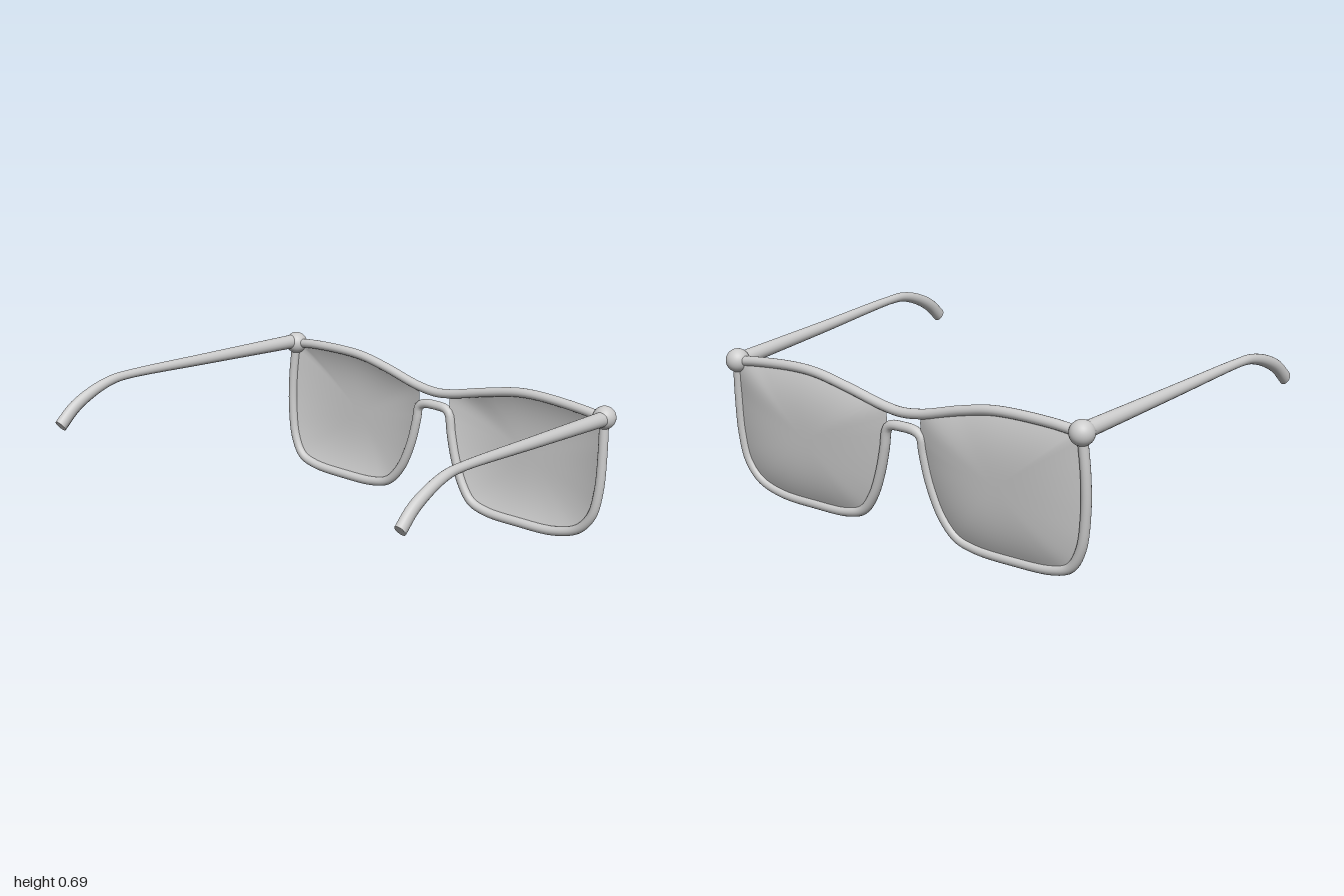
import * as THREE from 'three';

const material = new THREE.MeshStandardMaterial({ color: 0xcccccc });
const lensMaterial = new THREE.MeshStandardMaterial({ color: 0xcccccc, side: THREE.DoubleSide });

// The frame plane is slightly turned about y and leans with height.
const frameZ = (x, y) => -0.71 - 0.045 * x + 0.03 * (1 - y / 0.6);
const onFrame = ([x, y]) => new THREE.Vector3(x, y, frameZ(x, y));
const smoothCurve = (points) => new THREE.CatmullRomCurve3(points, false, 'centripetal');

function addMesh(parent, name, geometry, mat = material) {
  const mesh = new THREE.Mesh(geometry, mat);
  mesh.name = name;
  parent.add(mesh);
  return mesh;
}

// Round bar along a curve; radiusAt(t) returns [sideways, upright] radii.
function taperedTube(curve, segments, sides, radiusAt) {
  const geometry = new THREE.TubeGeometry(curve, segments, 1, sides, false);
  const pos = geometry.attributes.position;
  const normal = geometry.attributes.normal;
  const p = new THREE.Vector3(), n = new THREE.Vector3();
  for (let i = 0; i <= segments; i++) {
    curve.getPointAt(i / segments, p);
    const [rx, ry] = radiusAt(i / segments);
    for (let j = 0; j <= sides; j++) {
      const k = i * (sides + 1) + j;
      n.fromBufferAttribute(normal, k);
      pos.setXYZ(k, p.x + n.x * rx, p.y + n.y * ry, p.z + n.z * ry);
    }
  }
  return geometry;
}

// Lens sheet: rings shrink from the outline to the centre and swell towards -z.
function lensGeometry(outline, bulge) {
  const rings = 10, count = 96;
  const edge = smoothCurve([...outline, outline[0]].map(onFrame)).getSpacedPoints(count).slice(0, count);
  const box = new THREE.Box3().setFromPoints(edge);
  const c = box.getCenter(new THREE.Vector3());
  c.z = frameZ(c.x, c.y);
  const vertices = [c.x, c.y, c.z - bulge], index = [];
  for (let r = 1; r <= rings; r++) {
    const s = r / rings;
    for (const e of edge) {
      const p = c.clone().lerp(e, s);
      vertices.push(p.x, p.y, p.z - bulge * (1 - s ** 3));
    }
  }
  for (let j = 0; j < count; j++) {
    const next = (j + 1) % count;
    index.push(0, 1 + j, 1 + next);
    for (let r = 0; r < rings - 1; r++) {
      const a = 1 + r * count + j, b = 1 + r * count + next;
      index.push(a, a + count, b + count, a, b + count, b);
    }
  }
  const geometry = new THREE.BufferGeometry();
  geometry.setAttribute('position', new THREE.Float32BufferAttribute(vertices, 3));
  geometry.setIndex(index);
  geometry.computeVertexNormals();
  return geometry;
}

// Front outlines, in x and y
const rightRim = [[-0.945, 0.62], [-0.958, 0.45], [-0.955, 0.3], [-0.93, 0.15], [-0.88, 0.065], [-0.8, 0.036],
  [-0.6, 0.027], [-0.42, 0.034], [-0.33, 0.06], [-0.26, 0.135], [-0.205, 0.26], [-0.175, 0.39], [-0.165, 0.455]];
const noseBridge = [[-0.135, 0.474], [-0.07, 0.479], [-0.01, 0.474]];
const leftRim = [[0.012, 0.455], [0.03, 0.37], [0.06, 0.26], [0.105, 0.15], [0.165, 0.072], [0.25, 0.044],
  [0.43, 0.038], [0.63, 0.046], [0.75, 0.085], [0.815, 0.16], [0.842, 0.28], [0.846, 0.45], [0.84, 0.605]];
const browRight = [[-0.945, 0.62], [-0.8, 0.633], [-0.54, 0.632], [-0.38, 0.603], [-0.18, 0.552]];
const browLeft = [[0.02, 0.55], [0.2, 0.592], [0.38, 0.628], [0.5, 0.634], [0.7, 0.622], [0.84, 0.605]];

// Temple paths from hinge to ear tip
const temples = [
  ['leftTemple', [[0.845, 0.605, -0.73], [0.893, 0.637, -0.2], [0.942, 0.668, 0.3], [0.953, 0.665, 0.4],
    [0.963, 0.635, 0.51], [0.97, 0.585, 0.61], [0.977, 0.522, 0.685]]],
  ['rightTemple', [[-0.95, 0.628, -0.65], [-0.95, 0.652, -0.1], [-0.948, 0.672, 0.38], [-0.946, 0.668, 0.47],
    [-0.943, 0.64, 0.58], [-0.939, 0.59, 0.69], [-0.935, 0.522, 0.775]]],
];

export function createModel() {
  const group = new THREE.Group();
  group.name = 'eyeglasses';

  // Wire frame: one lower wire around both lenses, one brow bar
  const lower = smoothCurve([...rightRim, ...noseBridge, ...leftRim].map(onFrame));
  addMesh(group, 'lowerRim', new THREE.TubeGeometry(lower, 180, 0.021, 16));
  const brow = smoothCurve([...browRight, [-0.07, 0.54], ...browLeft].map(onFrame));
  addMesh(group, 'browBar', new THREE.TubeGeometry(brow, 90, 0.021, 16));

  // Lenses
  addMesh(group, 'rightLens', lensGeometry([...rightRim, ...browRight.slice(1).reverse()], 0.045), lensMaterial);
  addMesh(group, 'leftLens', lensGeometry([...leftRim, ...browLeft.slice(0, -1).reverse()], 0.045), lensMaterial);

  // Hinge balls
  for (const [name, x, y] of [['leftHinge', 0.84, 0.607], ['rightHinge', -0.945, 0.62]]) {
    addMesh(group, name, new THREE.SphereGeometry(0.051, 32, 20)).position.set(x, y, frameZ(x, y));
  }

  // Temples, thin in the middle and taller at the ear tips, with closed ends
  for (const [name, points] of temples) {
    const curve = smoothCurve(points.map((p) => new THREE.Vector3(...p)));
    const radius = (t) => {
      const tip = THREE.MathUtils.smoothstep(t, 0.68, 1);
      const rx = THREE.MathUtils.lerp(0.034, 0.019, Math.min(1, t / 0.75)) + 0.003 * tip;
      return [rx, THREE.MathUtils.lerp(0.033, 0.019, Math.min(1, t / 0.7)) + 0.012 * tip];
    };
    const temple = new THREE.Group();
    temple.name = name;
    addMesh(temple, 'arm', taperedTube(curve, 90, 20, radius));
    const [rx, ry] = radius(1);
    const cap = addMesh(temple, 'earTip', new THREE.CircleGeometry(1, 20));
    cap.position.copy(curve.getPointAt(1));
    cap.lookAt(cap.position.clone().add(curve.getTangentAt(1)));
    cap.scale.set(rx, ry, 1);
    group.add(temple);
  }
  return group;
}
